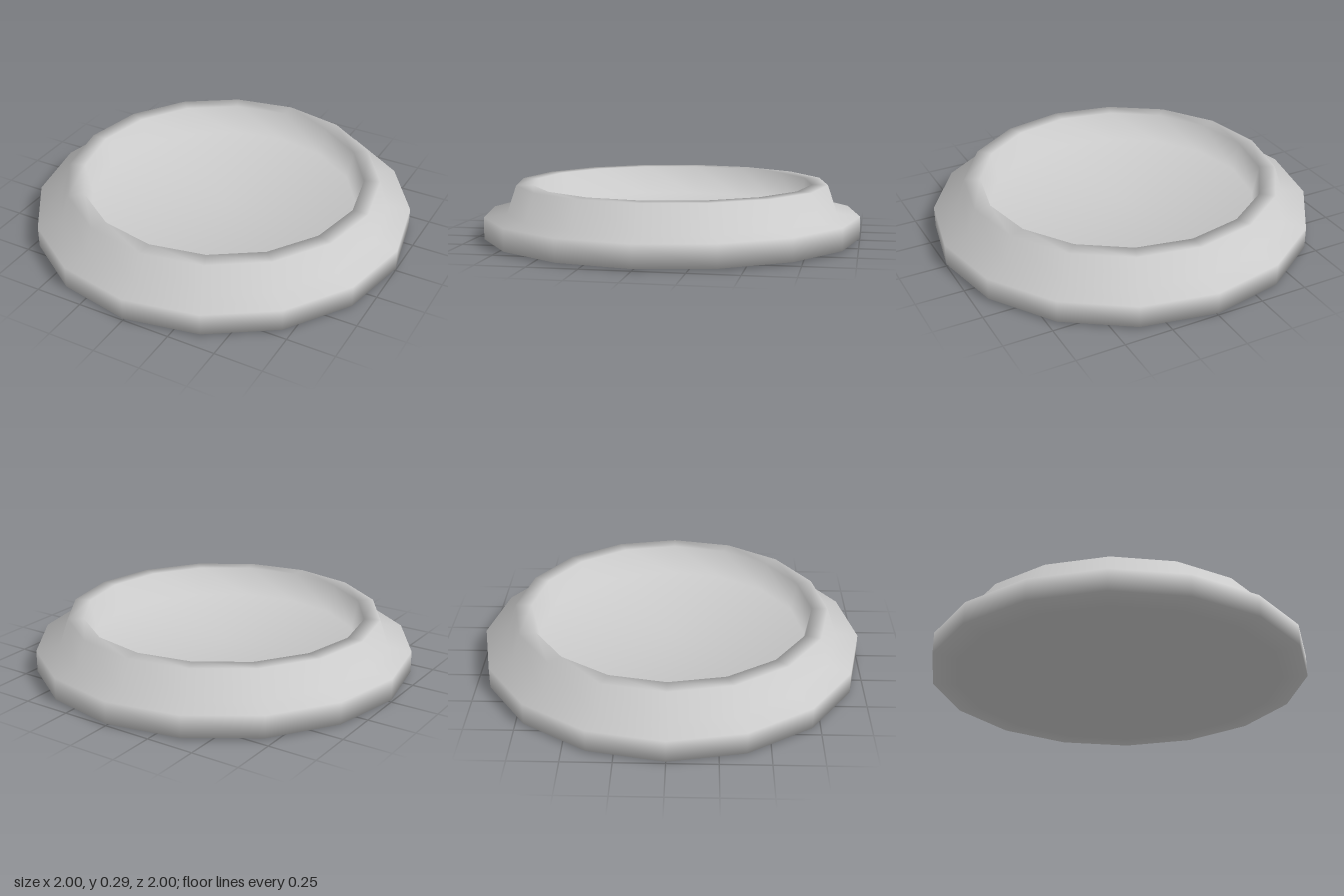
import * as THREE from 'three';
import { mergeVertices } from 'three/addons/utils/BufferGeometryUtils.js';

export function createModel() {
  const group = new THREE.Group();
  group.name = 'dish';
  const material = new THREE.MeshStandardMaterial({ color: 0xcccccc });
  const sides = 16;

  const profile = [
    [0, 0], [0.85, 0], [1, 0.01],     // base
    [1, 0.125], [0.88, 0.14],         // flange
    [0.83, 0.287], [0.745, 0.287],    // tapered collar and flat rim
    [0.715, 0.13], [0, 0.13],         // steep inner wall and recessed floor
  ];
  const points = profile.map(([r, y]) => new THREE.Vector2(r, y));

  // Shared corners give one smooth surface, weighted by face area
  const lathe = new THREE.LatheGeometry(points, sides);
  lathe.deleteAttribute('normal');
  lathe.deleteAttribute('uv');
  const geometry = mergeVertices(lathe, 1e-4);
  geometry.computeVertexNormals();

  const dish = new THREE.Mesh(geometry, material);
  dish.name = 'dishBody';
  group.add(dish);
  return group;
}
